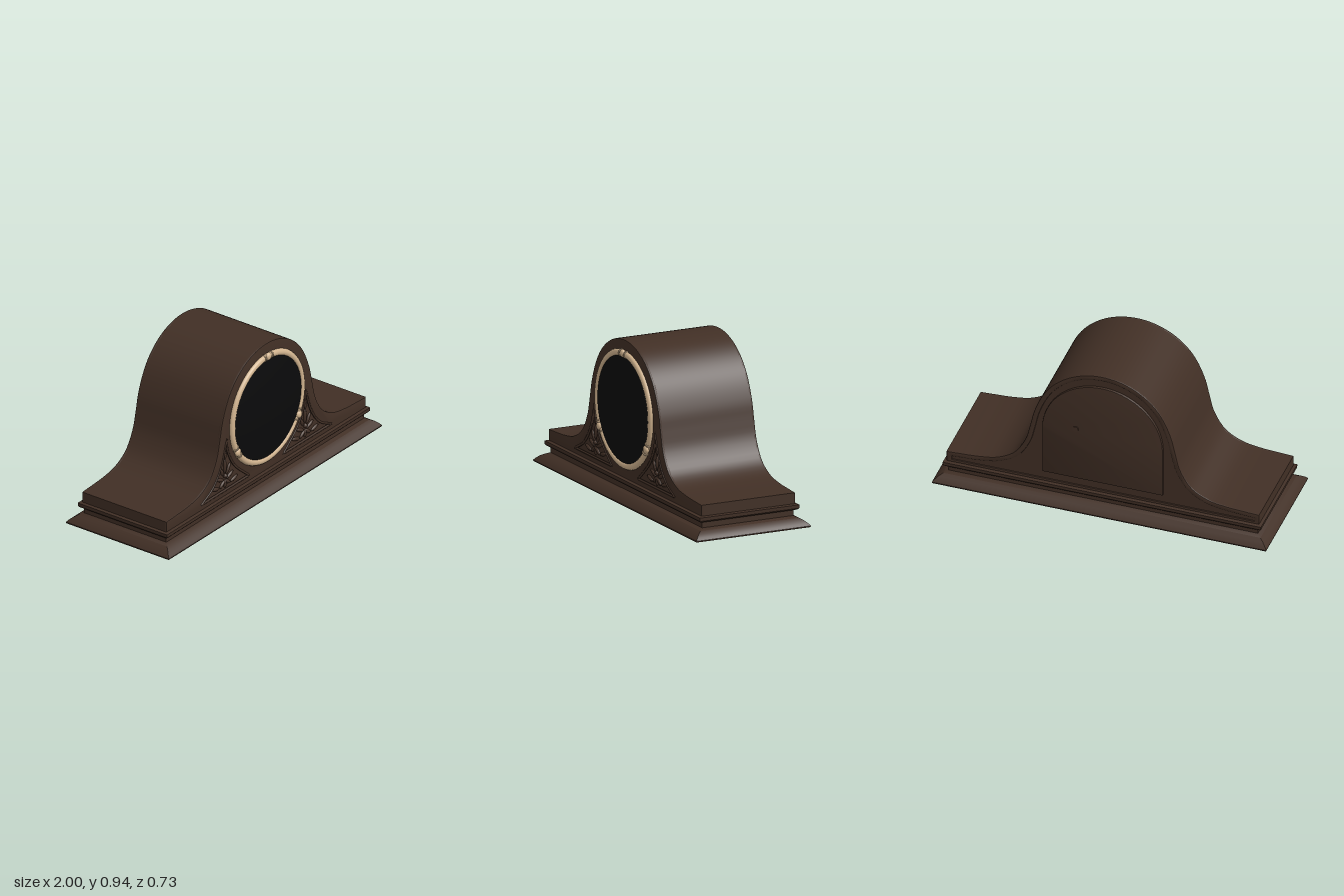
import * as THREE from 'three';
import { toCreasedNormals } from 'three/addons/utils/BufferGeometryUtils.js';

const wood = new THREE.MeshStandardMaterial({ color: 0x412f25 });
wood.name = 'dark wood';
const brass = new THREE.MeshStandardMaterial({ color: 0xd2b48f });
brass.name = 'pale brass';
const black = new THREE.MeshStandardMaterial({ color: 0x0a0a0b });
black.name = 'black dial';

const DIAL_Y = 0.535;
const V2 = (p) => new THREE.Vector2(p[0], p[1]);

function add(parent, name, geometry, material) {
  const mesh = new THREE.Mesh(geometry, material);
  mesh.name = name;
  parent.add(mesh);
  return mesh;
}

// Stack of rectangles; profile gives [half depth, height], half width is 0.635 more
function mouldingGeometry(profile) {
  const pos = [];
  const rings = profile.map(([d, y]) => {
    const w = d + 0.635;
    return [[w, y, d], [w, y, -d], [-w, y, -d], [-w, y, d]];
  });
  const quad = (a, b, c, d) => pos.push(...a, ...b, ...c, ...a, ...c, ...d);
  for (let i = 0; i < rings.length - 1; i++) {
    for (let k = 0; k < 4; k++) {
      const n = (k + 1) % 4;
      quad(rings[i][k], rings[i][n], rings[i + 1][n], rings[i + 1][k]);
    }
  }
  quad(...[...rings[0]].reverse());
  quad(...rings[rings.length - 1]);
  const g = new THREE.BufferGeometry();
  g.setAttribute('position', new THREE.Float32BufferAttribute(pos, 3));
  return toCreasedNormals(g, 0.6);
}

// Case outline: flat shoulders sweeping up into a round arch
function outline(inset = 0) {
  const half = [[0.935, 0.195], [0.84, 0.2], [0.74, 0.207], [0.63, 0.228], [0.53, 0.287],
    [0.465, 0.39], [0.435, 0.5], [0.412, 0.6]];
  for (let a = 25; a <= 90; a += 13) {
    const t = THREE.MathUtils.degToRad(a);
    half.push([0.41 * Math.cos(t), 0.53 + 0.41 * Math.sin(t)]);
  }
  const mirrored = half.slice(0, -1).reverse().map(([x, y]) => [-x, y]);
  const pts = new THREE.SplineCurve([...half, ...mirrored].map(V2)).getPoints(100);
  const top = pts.map((p, i) => {
    const t = pts[Math.min(i + 1, 100)].clone().sub(pts[Math.max(i - 1, 0)]).normalize();
    const q = new THREE.Vector2(p.x - t.y * inset, p.y + t.x * inset);
    q.x = THREE.MathUtils.clamp(q.x, -0.935 + inset, 0.935 - inset);
    return q;
  });
  const low = 0.128 + inset * 0.6;
  return [new THREE.Vector2(-0.935 + inset, low), new THREE.Vector2(0.935 - inset, low), ...top];
}

// Triangular side panel between the dial and the sweeping shoulder
function spandrel(side) {
  const outer = new THREE.SplineCurve([[0.61, 0.165], [0.5, 0.225], [0.42, 0.335], [0.37, 0.485]].map(V2)).getPoints(14);
  const inner = new THREE.SplineCurve([[0.37, 0.485], [0.358, 0.4], [0.295, 0.285], [0.16, 0.165]].map(V2)).getPoints(14);
  return [...outer, ...inner.slice(1)].map((p) => new THREE.Vector2(p.x * side, p.y));
}

function extrude(shape, z0, z1, bevel = 0) {
  const g = new THREE.ExtrudeGeometry(shape, {
    depth: z1 - z0 - 2 * bevel, bevelEnabled: bevel > 0, bevelThickness: bevel,
    bevelSize: bevel, bevelOffset: -bevel, bevelSegments: 2, curveSegments: 40,
  });
  g.translate(0, 0, z0 + bevel);
  return toCreasedNormals(g, 0.6);
}

// Profile [radius, z] turned around the dial axis
function turned(profile) {
  const g = new THREE.LatheGeometry(profile.map(V2), 72);
  g.rotateX(Math.PI / 2);
  return g.translate(0, DIAL_Y, 0);
}

export function createModel() {
  const clock = new THREE.Group();
  clock.name = 'mantelClock';

  // Moulded plinth
  add(clock, 'plinth', mouldingGeometry([
    [0.363, 0], [0.365, 0.008], [0.353, 0.022], [0.336, 0.037], [0.314, 0.05], [0.291, 0.06],
    [0.291, 0.095], [0.308, 0.097], [0.316, 0.106], [0.317, 0.126], [0.3, 0.131],
  ]), wood);

  // Case: core, front with cut-out side panels, back rim around a shallow recess
  add(clock, 'caseCore', extrude(new THREE.Shape(outline()), -0.292, 0.288), wood);
  const front = new THREE.Shape(outline());
  for (const s of [1, -1]) front.holes.push(new THREE.Path(spandrel(s)));
  add(clock, 'caseFront', extrude(front, 0.28, 0.3, 0.005), wood);
  const rim = new THREE.Shape(outline());
  rim.holes.push(new THREE.Path(outline(0.03)));
  add(clock, 'backRim', extrude(rim, -0.3, -0.28, 0.005), wood);

  // Arched back door with a small knob
  const door = new THREE.Shape();
  door.moveTo(-0.36, 0.2);
  door.lineTo(0.36, 0.2);
  door.lineTo(0.36, 0.505);
  door.absarc(0, 0.505, 0.36, 0, Math.PI, false);
  door.closePath();
  add(clock, 'backDoor', extrude(door, -0.308, -0.285, 0.003), wood);
  const knob = add(clock, 'doorKnob', new THREE.CylinderGeometry(0.018, 0.018, 0.014, 16), wood);
  knob.rotation.x = Math.PI / 2;
  knob.position.set(0.16, 0.545, -0.307);

  // Carved side panels: raised border and a spray of leaves
  for (const s of [1, -1]) {
    const panel = new THREE.Group();
    panel.name = s > 0 ? 'leftCarving' : 'rightCarving';
    clock.add(panel);
    const path = new THREE.CurvePath();
    const pts = spandrel(s).map((p) => new THREE.Vector3(p.x, p.y, 0.299));
    pts.forEach((p, i) => path.add(new THREE.LineCurve3(p, pts[(i + 1) % pts.length])));
    add(panel, 'panelBorder', new THREE.TubeGeometry(path, 120, 0.007, 6, true), wood);
    // Each leaf: [x, y, angle from upright, half length]
    const leaves = [[0.375, 0.31, 0, 0.045], [0.345, 0.285, 0.5, 0.035], [0.405, 0.285, -0.5, 0.035],
      [0.33, 0.24, 1.15, 0.035], [0.42, 0.24, -1.15, 0.035], [0.35, 0.205, 2.2, 0.03],
      [0.4, 0.205, -2.2, 0.03], [0.375, 0.2, 0, 0.025], [0.29, 0.2, 1.3, 0.035],
      [0.465, 0.2, -1.3, 0.035], [0.375, 0.385, 0, 0.03]];
    for (const [x, y, a, len] of leaves) {
      const leaf = add(panel, 'leaf', new THREE.SphereGeometry(1, 10, 8), wood);
      leaf.scale.set(0.012, len, 0.011);
      leaf.rotation.z = a * s;
      leaf.position.set(x * s, y, 0.289);
    }
    const bud = add(panel, 'bud', new THREE.SphereGeometry(0.014, 12, 8), wood);
    bud.position.set(0.375 * s, 0.25, 0.291);
  }

  // Dial under domed black glass
  const dome = [];
  for (let i = 0; i <= 12; i++) {
    const r = 0.318 * (1 - i / 12);
    dome.push([r, 0.312 + 0.028 * (1 - (r / 0.318) ** 2)]);
  }
  add(clock, 'domedGlass', turned(dome), black);

  // Bezel ring with three knots
  add(clock, 'bezel', turned([[0.343, 0.298], [0.348, 0.305], [0.343, 0.315], [0.335, 0.32],
    [0.326, 0.322], [0.317, 0.32], [0.311, 0.315], [0.309, 0.305]]), brass);
  for (const deg of [90, 210, 330]) {
    const knot = new THREE.Group();
    knot.name = 'bezelKnot';
    knot.position.set(0, DIAL_Y, 0);
    knot.rotation.z = THREE.MathUtils.degToRad(deg);
    clock.add(knot);
    const ball = add(knot, 'knotBall', new THREE.SphereGeometry(0.024, 16, 12), brass);
    ball.scale.z = 0.65;
    ball.position.set(0.33, 0, 0.315);
    for (const s of [1, -1]) {
      const band = add(knot, 'knotBand', new THREE.TorusGeometry(0.019, 0.004, 6, 16), brass);
      band.position.set(0.328 * Math.cos(0.1), s * 0.328 * Math.sin(0.1), 0.306);
      band.rotation.x = Math.PI / 2;
    }
  }
  return clock;
}
